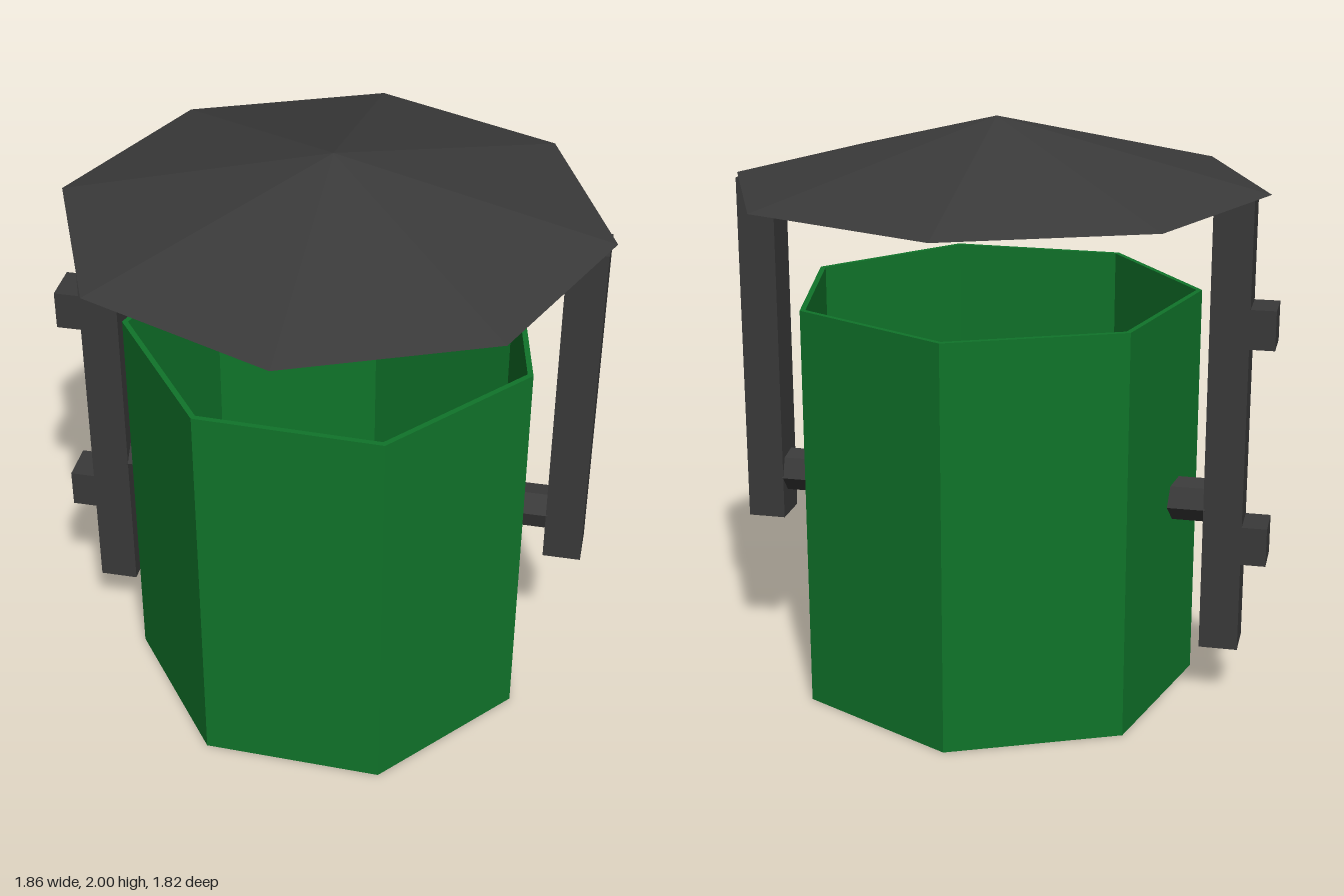
import * as THREE from 'three';

const rad = THREE.MathUtils.degToRad;

// Facet a geometry so every polygon side reads flat
function faceted(geometry) {
  const g = geometry.toNonIndexed();
  g.computeVertexNormals();
  return g;
}

export function createModel() {
  const green = new THREE.MeshStandardMaterial({ color: 0x10742a });
  green.name = 'bin green';
  const charcoal = new THREE.MeshStandardMaterial({ color: 0x3a3a3a });
  charcoal.name = 'charcoal metal';

  const model = new THREE.Group();
  model.name = 'litterBin';

  function add(name, geometry, material, x, y, z) {
    const mesh = new THREE.Mesh(geometry, material);
    mesh.name = name;
    mesh.position.set(x, y, z);
    model.add(mesh);
    return mesh;
  }

  // Box given by its x and y limits, centred on z
  function bar(name, x0, x1, y0, y1) {
    const box = new THREE.BoxGeometry(x1 - x0, y1 - y0, 0.142);
    add(name, box, charcoal, (x0 + x1) / 2, (y0 + y1) / 2, 0);
  }

  // Seven-sided open container with a thin wall
  const R = 0.702, H = 1.4, wall = 0.02;
  const profile = [
    [0, 0], [R, 0], [R, H], [R - wall, H], [R - wall, wall], [0, wall],
  ].map(([r, y]) => new THREE.Vector2(r, y));
  const shell = new THREE.LatheGeometry(profile, 7, rad(23.9), Math.PI * 2);
  add('container', faceted(shell), green, 0.03, 0, 0.05);

  // Eight-sided roof
  const roof = new THREE.ConeGeometry(0.91, 0.225, 8);
  add('roof', faceted(roof), charcoal, 0.015, 1.8875, 0);

  // Posts, the right one longer with two mounting brackets
  bar('leftPost', 0.775, 0.905, 0.55, 1.77);
  bar('rightPost', -0.847, -0.715, 0.195, 1.77);
  bar('upperBracket', -0.932, -0.845, 1.272, 1.407);
  bar('lowerBracket', -0.932, -0.845, 0.512, 0.647);

  // Hexagonal pivots between the posts and the container
  function pivot(name, x0, x1) {
    const pin = new THREE.CylinderGeometry(0.074, 0.074, x1 - x0, 6);
    pin.rotateZ(Math.PI / 2);
    pin.rotateX(rad(-10));
    add(name, faceted(pin), charcoal, (x0 + x1) / 2, 0.711, 0);
  }
  pivot('leftPivot', 0.65, 0.78);
  pivot('rightPivot', -0.72, -0.59);

  return model;
}
